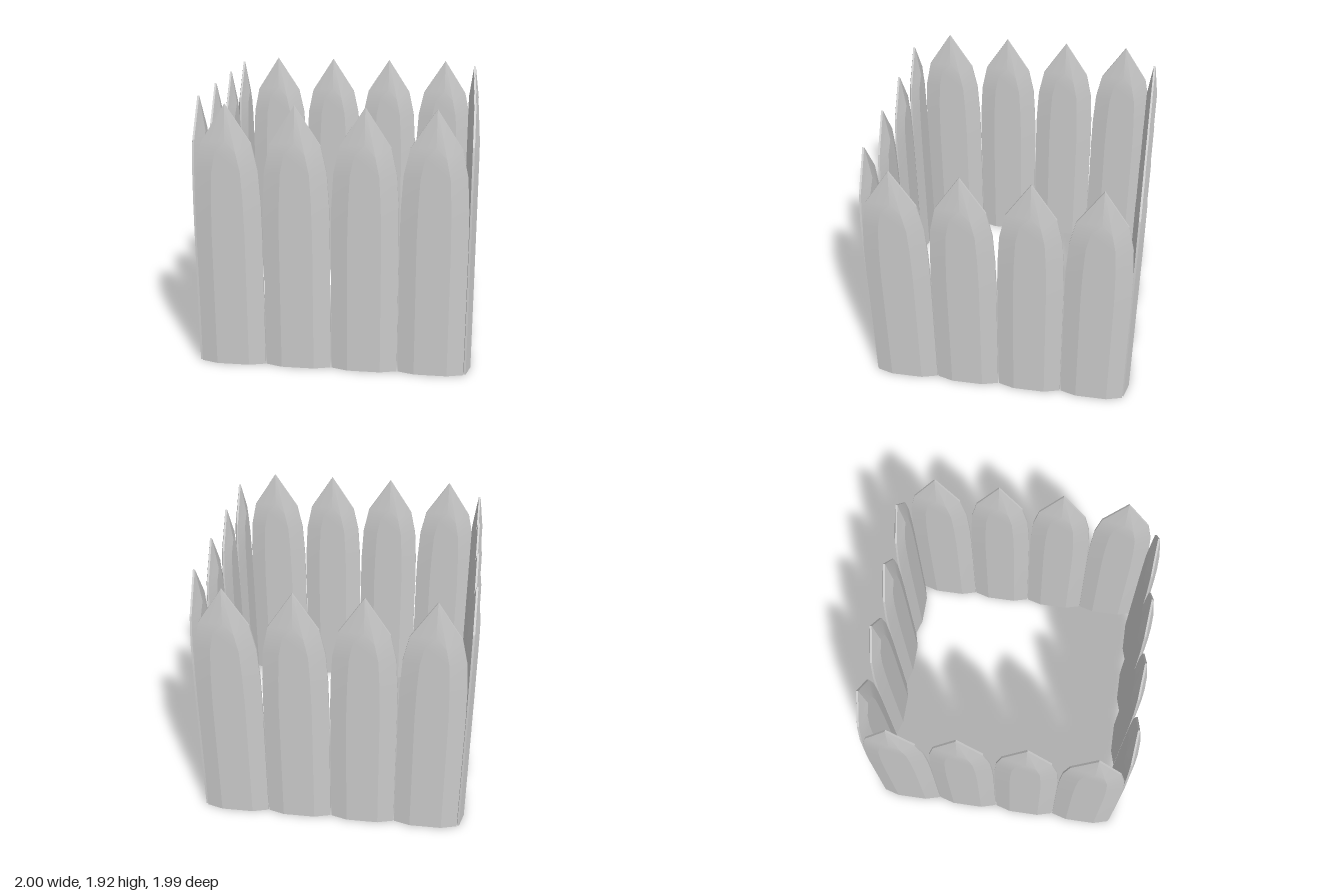
import * as THREE from 'three';
import { toCreasedNormals } from 'three/addons/utils/BufferGeometryUtils.js';

// Right halves of the outlines, from the foot up to the pointed tip: [x, y]
const RIM = [[0.235, 0], [0.235, 1.0], [0.231, 1.22], [0.216, 1.46], [0.175, 1.65], [0, 1.92]];
const PANEL = [[0.117, 0], [0.117, 1.0], [0.111, 1.25], [0.1, 1.45], [0.072, 1.59], [0, 1.67]];
const RIM_Z = 0.007;
const PANEL_Z = 0.04;

// Mirrors a half outline into a full loop, counter-clockwise from the front
function loop(half, z) {
  const left = half.slice(0, -1).reverse().map(([x, y]) => [-x, y]);
  return [...half, ...left].map(([x, y]) => [x, y, z]);
}

// Pointed board: raised flat panel on both faces, bevelled to a thin rim
function boardGeometry() {
  const layers = [loop(PANEL, PANEL_Z), loop(RIM, RIM_Z), loop(RIM, -RIM_Z), loop(PANEL, -PANEL_Z)];
  const n = layers[0].length;
  const pos = [];
  const tri = (a, b, c) => pos.push(...a, ...b, ...c);
  const quad = (a, b, c, d) => { tri(a, b, c); tri(a, c, d); };

  // bevels and rim; the closing segment of each loop forms the foot
  for (let k = 0; k < 3; k++) {
    const f = layers[k], b = layers[k + 1];
    for (let i = 0; i < n; i++) {
      const j = (i + 1) % n;
      quad(f[i], b[i], b[j], f[j]);
    }
  }
  // flat panels, in rows up to the tip
  const front = layers[0], back = layers[3];
  const tip = (n - 1) / 2;
  for (let i = 0; i < tip; i++) {
    const l = n - 1 - i;
    if (i === tip - 1) {
      tri(front[i], front[tip], front[l]);
      tri(back[l], back[tip], back[i]);
    } else {
      quad(front[i], front[i + 1], front[l - 1], front[l]);
      quad(back[l], back[l - 1], back[i + 1], back[i]);
    }
  }
  const geo = new THREE.BufferGeometry();
  geo.setAttribute('position', new THREE.Float32BufferAttribute(pos, 3));
  return toCreasedNormals(geo, 0.2);
}

export function createModel() {
  const model = new THREE.Group();
  model.name = 'picketEnclosure';
  const geometry = boardGeometry();
  const material = new THREE.MeshStandardMaterial({ color: 0xcccccc });

  // four sides of four boards each
  ['front', 'left', 'back', 'right'].forEach((side, s) => {
    const row = new THREE.Group();
    row.name = side + 'Row';
    [-0.715, -0.239, 0.239, 0.715].forEach((x, i) => {
      const board = new THREE.Mesh(geometry, material);
      board.name = side + 'Board' + (i + 1);
      board.position.set(x, 0, s % 2 ? 0.96 : 0.953);
      row.add(board);
    });
    row.rotation.y = s * Math.PI / 2;
    model.add(row);
  });
  return model;
}
